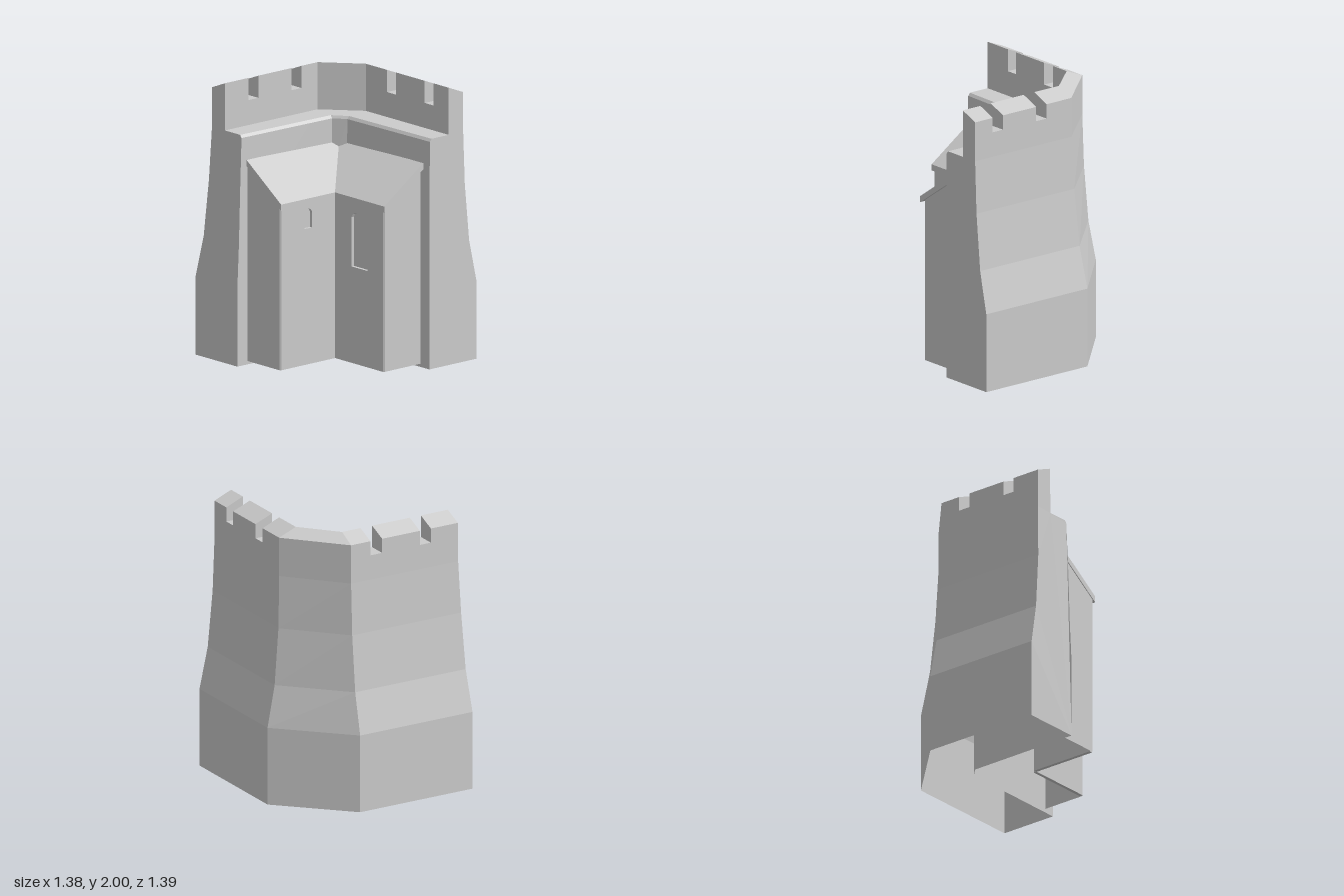
import * as THREE from 'three';

const material = new THREE.MeshStandardMaterial({ color: 0xcccccc, flatShading: true, side: THREE.DoubleSide });

function addMesh(parent, name, geometry) {
  const mesh = new THREE.Mesh(geometry, material);
  mesh.name = name;
  parent.add(mesh);
  return mesh;
}

// Skin a row of equal-length cross-sections; optionally close the loop and cap the ends.
function loft(sections, { closed = false, capStart = null, capEnd = null } = {}) {
  const pos = [];
  const tri = (a, b, c) => {
    const t = new THREE.Triangle(...[a, b, c].map((p) => new THREE.Vector3(...p)));
    if (t.getArea() > 1e-7) pos.push(...a, ...b, ...c);
  };
  const n = sections[0].length;
  for (let i = 0; i < sections.length - 1; i++) {
    for (let k = 0; k < (closed ? n : n - 1); k++) {
      const a = sections[i][k], b = sections[i][(k + 1) % n];
      const c = sections[i + 1][k], d = sections[i + 1][(k + 1) % n];
      tri(a, b, c);
      tri(b, d, c);
    }
  }
  // cap: the axis (0 = x, 2 = z) that runs across the end face
  const cap = (sec, axis) => {
    const flat = sec.map((p) => new THREE.Vector2(p[axis], p[1]));
    for (const [a, b, c] of THREE.ShapeUtils.triangulateShape(flat, [])) tri(sec[a], sec[b], sec[c]);
  };
  if (capStart !== null) cap(sections[0], capStart);
  if (capEnd !== null) cap(sections[sections.length - 1], capEnd);
  const g = new THREE.BufferGeometry();
  g.setAttribute('position', new THREE.Float32BufferAttribute(pos, 3));
  g.computeVertexNormals();
  return g;
}

// Wall cross-section: up the battered outside, over the parapet, across the walkway, down the inside.
const height = [0, 0.57, 0.87, 1.28, 1.66, 1.945, 2, 1.66, 1.66, 1.64, 1.28, 0.87, 0.57, 0];
const outer = [0.692, 0.692, 0.625, 0.585, 0.57, 0.57, 0.435, 0.435];
const offEnd = [...outer, 0.275, 0.26, 0.257, 0.256, 0.255, 0.255];
const offCorner = [...outer, 0.255, 0.24, 0.243, 0.246, 0.25, 0.25];
const frontEnd = [0.695, 0.695, 0.68, 0.667, 0.652, 0.65, 0.65, 0.652, 0.652, 0.652, 0.667, 0.68, 0.695, 0.695];
const sideCorner = [-0.22, -0.22, -0.22, -0.22, -0.22, -0.22, -0.212, -0.212, -0.175, -0.175, -0.177, -0.18, -0.18, -0.18];
const backCorner = [-0.225, -0.225, -0.21, -0.195, -0.18, -0.18, -0.18, -0.18, -0.15, -0.155, -0.16, -0.167, -0.173, -0.18];

function wallSection(back, along, low = false) {
  return height.map((h, k) => {
    const a = Array.isArray(along) ? along[k] : along;
    const t = THREE.MathUtils.clamp((a + 0.18) / 0.83, 0, 1);
    const off = -THREE.MathUtils.lerp(offCorner[k], offEnd[k], t);
    const y = low && (k === 5 || k === 6) ? 1.84 : h;
    return back ? [a, y, off] : [off, y, a];
  });
}

// A crenel: step down, run, step up.
const crenel = (back, from, to) => [
  wallSection(back, from), wallSection(back, from, true),
  wallSection(back, to, true), wallSection(back, to),
];

function buildWall(parent) {
  const sections = [
    wallSection(false, frontEnd),
    ...crenel(false, 0.43, 0.34),
    ...crenel(false, 0.033, -0.062),
    wallSection(false, sideCorner),
    wallSection(true, backCorner),
    ...crenel(true, 0.043, 0.138),
    ...crenel(true, 0.438, 0.531),
    wallSection(true, 0.69),
  ];
  addMesh(parent, 'battlementWall', loft(sections, { capStart: 0, capEnd: 2 }));
}

const FACE = 0.093, END = 0.603, BASE = 0.025;

// Wall panel with an arched, recessed window.
function windowPanel(parent, name, [x0, x1], [w0, w1, sill, spring, apex]) {
  const shape = new THREE.Shape([[x0, BASE], [x1, BASE], [x1, 1.19], [x0, 1.19]].map((p) => new THREE.Vector2(...p)));
  const mid = (w0 + w1) / 2, half = (w1 - w0) / 2;
  const outline = [[w0, sill], [w1, sill]];
  for (let i = 0; i <= 6; i++) {
    const a = (i / 6) * Math.PI;
    outline.push([mid + half * Math.cos(a), spring + (apex - spring) * Math.sin(a)]);
  }
  const points = outline.map((p) => new THREE.Vector2(...p));
  shape.holes.push(new THREE.Path(points));
  const group = new THREE.Group();
  group.name = name;
  const depth = 0.025;
  addMesh(group, 'wallPanel', new THREE.ExtrudeGeometry(shape, { depth, bevelEnabled: false })).position.z = FACE - depth;
  addMesh(group, 'windowRecess', new THREE.ShapeGeometry(new THREE.Shape(points))).position.z = FACE - depth + 0.002;
  parent.add(group);
  return group;
}

function buildHouse(parent) {
  const house = new THREE.Group();
  house.name = 'house';
  parent.add(house);

  windowPanel(house, 'backWingFront', [FACE, END - 0.01], [0.265, 0.435, 0.72, 1.075, 1.12]);
  windowPanel(house, 'sideWingFront', [-END + 0.01, -FACE], [-0.38, -0.307, 1.005, 1.11, 1.147]).rotation.y = Math.PI / 2;

  // Gable ends, with a narrow chamfer at the outer corner
  const under = (w) => 1.18 + (0.107 - w) * 0.69;
  const gable = [[-0.25, END], [FACE - 0.01, END], [FACE, END - 0.01]];
  addMesh(house, 'sideWingGable', loft(gable.map(([x, z]) => [[x, under(x), z], [x, BASE, z]])));
  addMesh(house, 'backWingGable', loft([...gable].reverse().map(([z, x]) => [[x, under(z), z], [x, BASE, z]])));

  // Lean-to roof slabs, mitred along the valley
  const profile = [[-0.255, 1.475], [0.107, 1.225], [0.107, 1.18], [-0.255, 1.43]];
  const valley = profile.map(([w, y]) => [w, y, w]);
  addMesh(house, 'backWingRoof', loft([valley, profile.map(([w, y]) => [0.626, y, w])], { closed: true, capEnd: 2 }));
  addMesh(house, 'sideWingRoof', loft([profile.map(([w, y]) => [w, y, 0.609]), valley], { closed: true, capStart: 0 }));
}

export function createModel() {
  const model = new THREE.Group();
  model.name = 'castleCorner';
  buildWall(model);
  buildHouse(model);
  return model;
}
